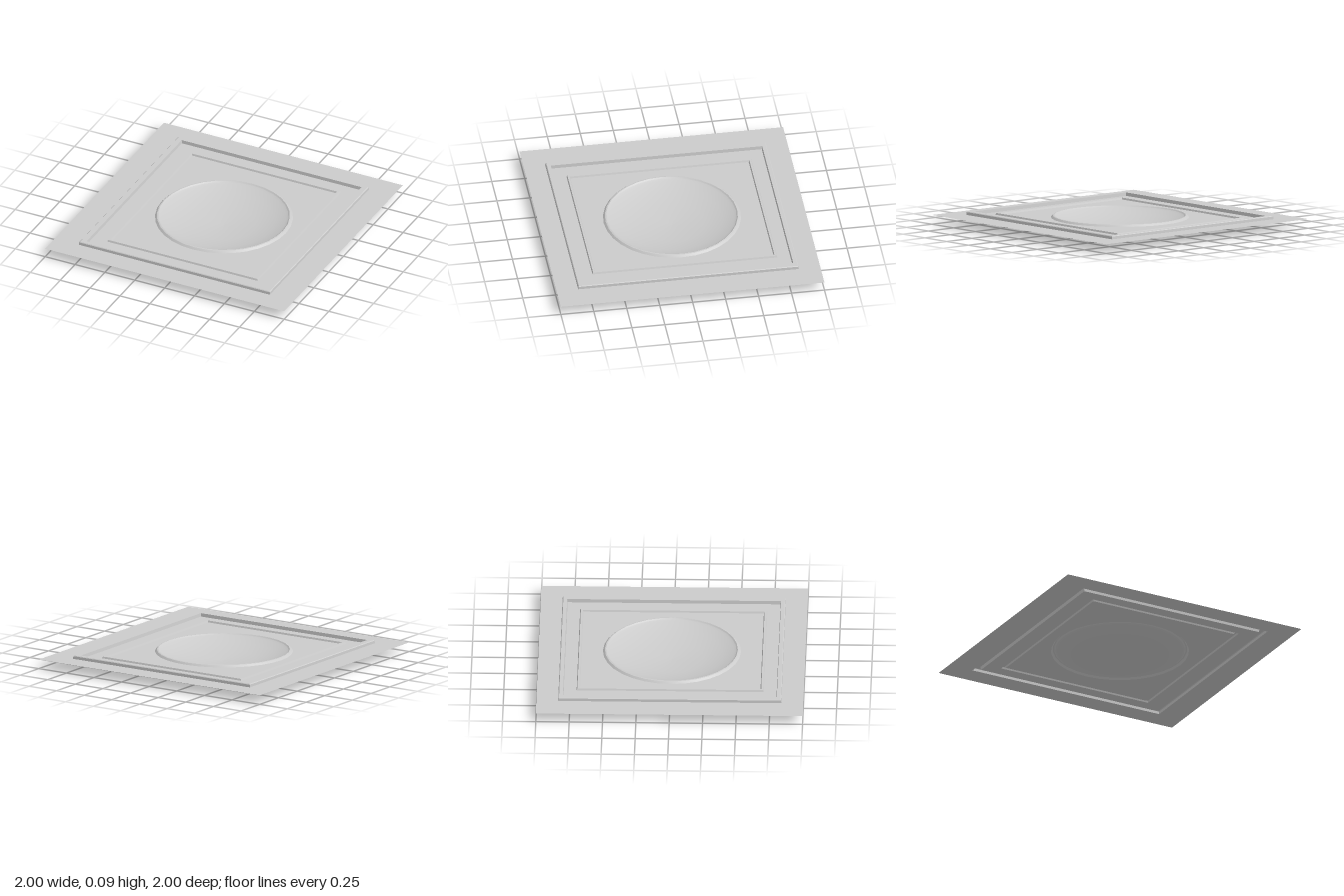
import * as THREE from 'three';
import { toCreasedNormals } from 'three/addons/utils/BufferGeometryUtils.js';

const material = new THREE.MeshStandardMaterial({ color: 0xcccccc, side: THREE.DoubleSide });
const BASE = 0.07; // height of the flat sheet
const SEGMENTS = 32;

function part(name, geometry) {
  const mesh = new THREE.Mesh(geometry, material);
  mesh.name = name;
  return mesh;
}

// Joins rectangular loops [halfX, halfZ, y], listed from outside to inside
function rectangularBand(loops) {
  const positions = [];
  const corners = ([x, z, y]) => [[-x, y, z], [x, y, z], [x, y, -z], [-x, y, -z]];
  for (let i = 0; i < loops.length - 1; i++) {
    const a = corners(loops[i]);
    const b = corners(loops[i + 1]);
    for (let k = 0; k < 4; k++) {
      const n = (k + 1) % 4;
      positions.push(...a[k], ...a[n], ...b[n], ...a[k], ...b[n], ...b[k]);
    }
  }
  const geometry = new THREE.BufferGeometry();
  geometry.setAttribute('position', new THREE.Float32BufferAttribute(positions, 3));
  geometry.computeVertexNormals();
  return geometry;
}

// Flat rectangle with a round opening
function fieldWithOpening(halfX, halfZ, radius) {
  const shape = new THREE.Shape([
    new THREE.Vector2(-halfX, -halfZ), new THREE.Vector2(halfX, -halfZ),
    new THREE.Vector2(halfX, halfZ), new THREE.Vector2(-halfX, halfZ),
  ]);
  const ring = [];
  for (let i = 0; i < SEGMENTS; i++) {
    const t = (i / SEGMENTS) * Math.PI * 2;
    ring.push(new THREE.Vector2(Math.sin(t) * radius, Math.cos(t) * radius));
  }
  shape.holes.push(new THREE.Path(ring));
  return new THREE.ShapeGeometry(shape).rotateX(-Math.PI / 2).translate(0, BASE, 0);
}

// Profile points [radius, y], listed from outside to inside so that faces point up
function turned(profile) {
  const points = profile.map(([r, y]) => new THREE.Vector2(r, y));
  return new THREE.LatheGeometry(points, SEGMENTS);
}

export function createModel() {
  const group = new THREE.Group();
  group.name = 'recessedPanel';

  // Flat border around the moulding
  group.add(part('outerBorder', rectangularBand([[1, 1, BASE], [0.8, 0.837, BASE]])));

  // Hollow raised frame with a small chamfer on its outer edge
  group.add(part('raisedFrame', rectangularBand([
    [0.8, 0.837, BASE], [0.798, 0.835, 0.09], [0.793, 0.83, 0.095],
    [0.752, 0.802, 0.095], [0.748, 0.798, BASE],
  ])));

  // Flat strip between the two mouldings
  group.add(part('middleBorder', rectangularBand([[0.748, 0.798, BASE], [0.63, 0.702, BASE]])));

  // Slim inner bead
  group.add(part('innerBead', rectangularBand([
    [0.63, 0.702, BASE], [0.624, 0.696, 0.083], [0.608, 0.682, 0.083], [0.602, 0.676, BASE],
  ])));

  // Central field around the dish
  group.add(part('centralField', fieldWithOpening(0.602, 0.676, 0.518)));

  // Rounded lip of the dish
  group.add(part('dishLip', toCreasedNormals(turned([
    [0.518, BASE], [0.504, 0.084], [0.494, 0.086], [0.484, 0.078],
  ]), 0.4)));

  // Shallow dish hanging below the sheet
  group.add(part('dish', turned([
    [0.484, 0.078], [0.465, 0.069], [0.38, 0.041], [0.24, 0.014], [0.08, 0.002], [0, 0],
  ])));

  return group;
}
